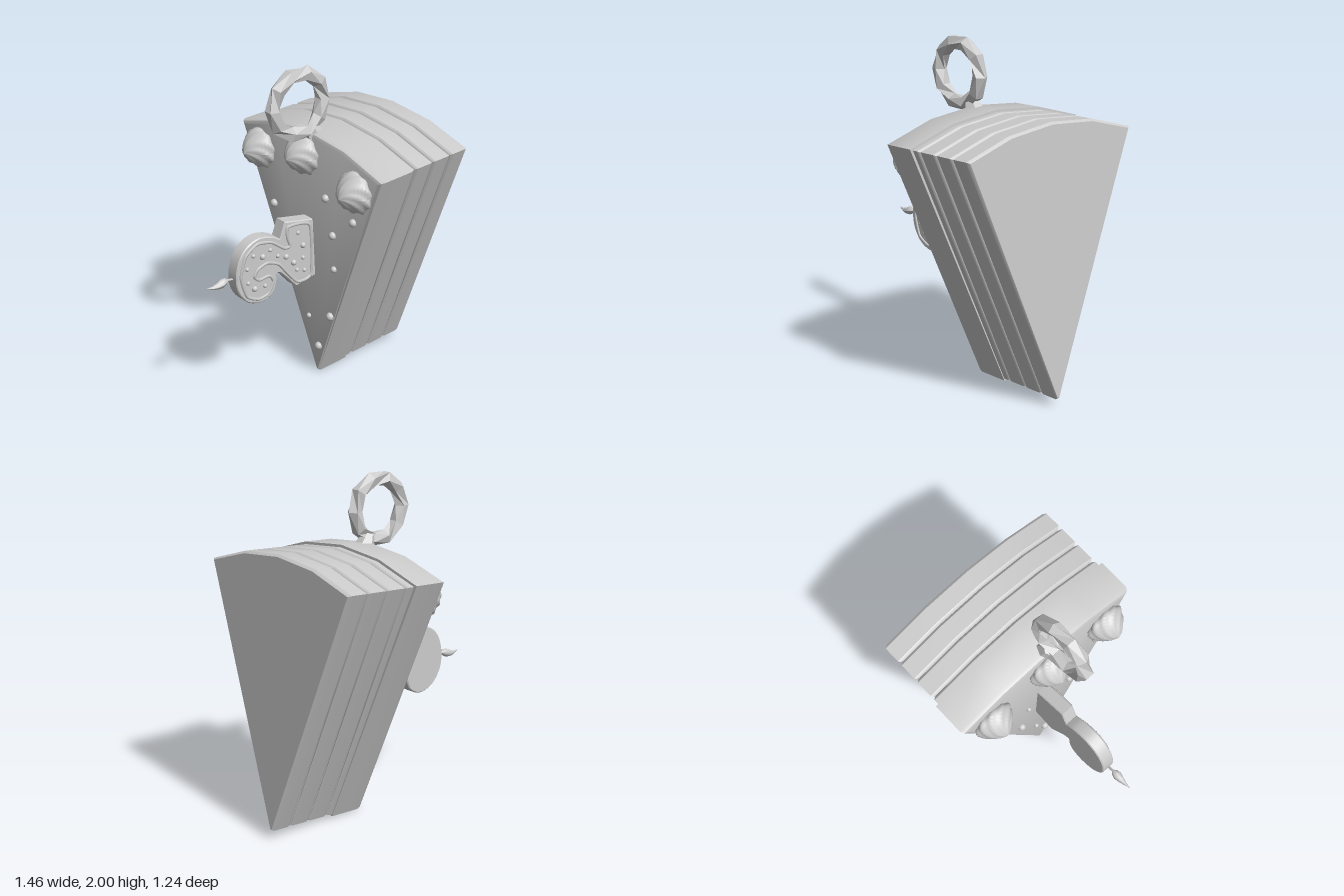
import * as THREE from 'three';
import { toCreasedNormals } from 'three/addons/utils/BufferGeometryUtils.js';

const grey = new THREE.MeshStandardMaterial({ color: 0xcccccc });
const faceted = new THREE.MeshStandardMaterial({ color: 0xcccccc, flatShading: true });

function add(parent, name, geometry, material = grey) {
  const mesh = new THREE.Mesh(geometry, material);
  mesh.name = name;
  parent.add(mesh);
  return mesh;
}

// Wedge outline in the (z, y) plane, pulled inwards by `inset`
function wedgeRing(inset) {
  const half = 0.394, r = 1.612 - inset;
  const corner = half - Math.asin(inset / r);
  const ring = [[0.006, inset * 0.9]];
  for (let k = 2; k >= -2; k--) {
    const a = corner * k / 2;
    ring.push([Math.sin(a) * r, Math.cos(a) * r]);
  }
  ring.push([-0.006, inset * 0.9]);
  return ring;
}

// Loft the wedge along x through [x, inset] stations, with flat end caps
function loftWedge(stations) {
  const pos = [], idx = [], n = 7;
  for (const [x, inset] of stations) {
    for (const [z, y] of wedgeRing(inset)) pos.push(x, y, z);
  }
  for (let s = 0; s < stations.length - 1; s++) {
    for (let i = 0; i < n; i++) {
      const a = s * n + i, b = s * n + (i + 1) % n;
      idx.push(a, a + n, b, b, a + n, b + n);
    }
  }
  const last = (stations.length - 1) * n;
  for (let i = 1; i < n - 1; i++) {
    idx.push(0, i, i + 1, last, last + i + 1, last + i);
  }
  const g = new THREE.BufferGeometry();
  g.setAttribute('position', new THREE.Float32BufferAttribute(pos, 3));
  g.setIndex(idx);
  return toCreasedNormals(g, 0.55);
}

// Piped cream: a dome with twisted ribs, its tip along +y
function creamGeometry() {
  const profile = new THREE.SplineCurve([
    [0.1, -0.02], [0.13, 0.012], [0.118, 0.045], [0.085, 0.085], [0.045, 0.118], [0, 0.138],
  ].map(p => new THREE.Vector2(...p))).getPoints(14);
  profile[14].x = 0;
  const g = new THREE.LatheGeometry(profile, 54);
  const p = g.attributes.position;
  for (let i = 0; i < p.count; i++) {
    const x = p.getX(i), y = p.getY(i), z = p.getZ(i);
    const k = 1 - 0.13 * Math.abs(Math.sin(4.5 * (Math.atan2(z, x) + y * 9)));
    p.setX(i, x * k);
    p.setZ(i, z * k);
  }
  g.computeVertexNormals();
  return g;
}

function buildSlice() {
  const slice = new THREE.Group();
  slice.name = 'cakeSlice';
  slice.position.set(0.06, 0, 0);
  slice.rotation.z = 0.053;

  // Frosting slab with a rounded outer edge
  add(slice, 'frosting', loftWedge([[0, 0.028], [0.008, 0.01], [0.028, 0], [0.222, 0]]));

  // Sponge layers, separated by grooves
  const cuts = [0.2, 0.27, 0.404, 0.536, 0.668];
  for (let i = 0; i < 4; i++) {
    const a = cuts[i], b = cuts[i + 1];
    add(slice, 'spongeLayer', loftWedge([
      [a, 0.034], [a + 0.006, 0.022], [a + 0.016, 0.015],
      [b - 0.016, 0.015], [b - 0.006, 0.022], [b, i < 3 ? 0.034 : 0.028],
    ]));
  }

  // Cream swirls on the frosted face
  const cream = creamGeometry();
  for (const [y, z] of [[1.375, 0.42], [1.465, -0.02], [1.375, -0.42]]) {
    const swirl = add(slice, 'creamSwirl', cream);
    swirl.position.set(0, y, z);
    swirl.rotation.z = Math.PI / 2;
  }

  // Sprinkle beads: y, z, radius
  const beads = [
    [1.04, -0.33, 0.025], [0.9, -0.13, 0.015], [0.65, -0.18, 0.025], [0.46, 0.15, 0.026],
    [0.38, -0.05, 0.016], [0.2, 0.03, 0.025], [1.17, 0.38, 0.024], [1.24, 0.15, 0.024],
    [1.02, 0.2, 0.024], [0.8, 0.2, 0.02],
  ];
  const ball = new THREE.SphereGeometry(1, 12, 8);
  for (const [y, z, r] of beads) {
    const bead = add(slice, 'sprinkle', ball);
    bead.position.set(-0.005, y, z);
    bead.scale.setScalar(r);
  }
  return slice;
}

function buildCandle() {
  const candle = new THREE.Group();
  candle.name = 'curledCandle';

  // Solid body
  const outline = new THREE.Shape();
  outline.moveTo(-0.2, 1.1);
  outline.lineTo(0.03, 1.055);
  outline.lineTo(0.04, 0.69);
  outline.lineTo(-0.12, 0.66);
  outline.lineTo(-0.19, 0.74);
  outline.splineThru([
    [-0.235, 0.785], [-0.262, 0.79], [-0.262, 0.75], [-0.29, 0.68], [-0.37, 0.645],
    [-0.47, 0.675], [-0.535, 0.76], [-0.55, 0.86], [-0.525, 0.96], [-0.47, 1.025],
    [-0.39, 1.055], [-0.3, 1.04], [-0.235, 1.005],
  ].map(p => new THREE.Vector2(...p)));
  const body = new THREE.ExtrudeGeometry(outline, {
    depth: 0.07, curveSegments: 40, bevelSize: 0.006, bevelThickness: 0.006,
    bevelOffset: -0.006, bevelSegments: 1,
  });
  body.translate(0, 0, -0.056);
  add(candle, 'candleBody', toCreasedNormals(body, 0.6));

  // Piped rim on the front face
  const rimPath = new THREE.CatmullRomCurve3([
    [-0.18, 1.065], [-0.02, 1.03], [-0.01, 0.71], [-0.11, 0.69], [-0.185, 0.77],
    [-0.25, 0.85], [-0.33, 0.885], [-0.4, 0.865], [-0.425, 0.825], [-0.39, 0.795],
    [-0.32, 0.8], [-0.29, 0.755], [-0.33, 0.685], [-0.4, 0.675], [-0.48, 0.72],
    [-0.52, 0.85], [-0.485, 0.97], [-0.4, 1.025], [-0.3, 1.005], [-0.21, 0.94],
    [-0.165, 0.94], [-0.185, 1.0],
  ].map(([x, y]) => new THREE.Vector3(x, y, 0.02)), true, 'catmullrom', 0.3);
  add(candle, 'candleRim', new THREE.TubeGeometry(rimPath, 150, 0.01, 6, true));

  // Beads on the front face
  const dots = [
    [-0.43, 0.96], [-0.365, 0.935], [-0.31, 0.96], [-0.255, 0.905], [-0.195, 0.88],
    [-0.475, 0.89], [-0.47, 0.8], [-0.425, 0.75], [-0.35, 0.745], [-0.105, 1.005],
    [-0.14, 0.825], [-0.115, 0.77], [-0.06, 0.75], [-0.07, 0.915], [-0.07, 0.835],
  ];
  const ball = new THREE.SphereGeometry(1, 10, 8);
  dots.forEach(([x, y], i) => {
    const dot = add(candle, 'candleBead', ball);
    dot.position.set(x, y, 0.02);
    dot.scale.setScalar(i % 3 === 1 ? 0.018 : 0.013);
  });

  // Wick and wavy flame, pointing away from the cake
  const flame = new THREE.LatheGeometry([
    [0, 0], [0.008, 0.002], [0.007, 0.045], [0.02, 0.06], [0.027, 0.085],
    [0.02, 0.115], [0.011, 0.145], [0, 0.19],
  ].map(p => new THREE.Vector2(...p)), 8);
  const p = flame.attributes.position;
  for (let i = 0; i < p.count; i++) {
    p.setX(i, p.getX(i) + 0.008 * Math.sin(p.getY(i) * 35));
  }
  flame.computeVertexNormals();
  const flameMesh = add(candle, 'flame', flame);
  flameMesh.position.set(-0.54, 0.835, -0.02);
  flameMesh.rotation.z = Math.PI / 2;
  return candle;
}

function buildHangingRing() {
  const hanger = new THREE.Group();
  hanger.name = 'hangingRing';
  hanger.position.set(-0.1, 1.787, 0.02);

  // Faceted loop: every second section is turned by half a facet
  const sides = 5, segments = 10, R = 0.177, r = 0.044;
  const loop = new THREE.TorusGeometry(R, r, sides, segments);
  const p = loop.attributes.position;
  for (let i = 0; i < p.count; i++) {
    const seg = i % (segments + 1), side = Math.floor(i / (segments + 1));
    const u = seg / segments * Math.PI * 2;
    const v = (side + (seg % 2) / 2) / sides * Math.PI * 2;
    const d = R + r * Math.cos(v);
    p.setXYZ(i, d * Math.cos(u), d * Math.sin(u), r * Math.sin(v));
  }
  add(hanger, 'ringLoop', loop, faceted);

  // Flared stem joining the loop to the cake
  const stem = add(hanger, 'ringStem', new THREE.CylinderGeometry(0.035, 0.065, 0.09, 6), faceted);
  stem.position.set(0.1, -0.175, -0.01);
  stem.rotation.z = 0.45;
  return hanger;
}

export function createModel() {
  const model = new THREE.Group();
  model.name = 'cakeSliceCharm';
  model.add(buildSlice(), buildCandle(), buildHangingRing());
  return model;
}
